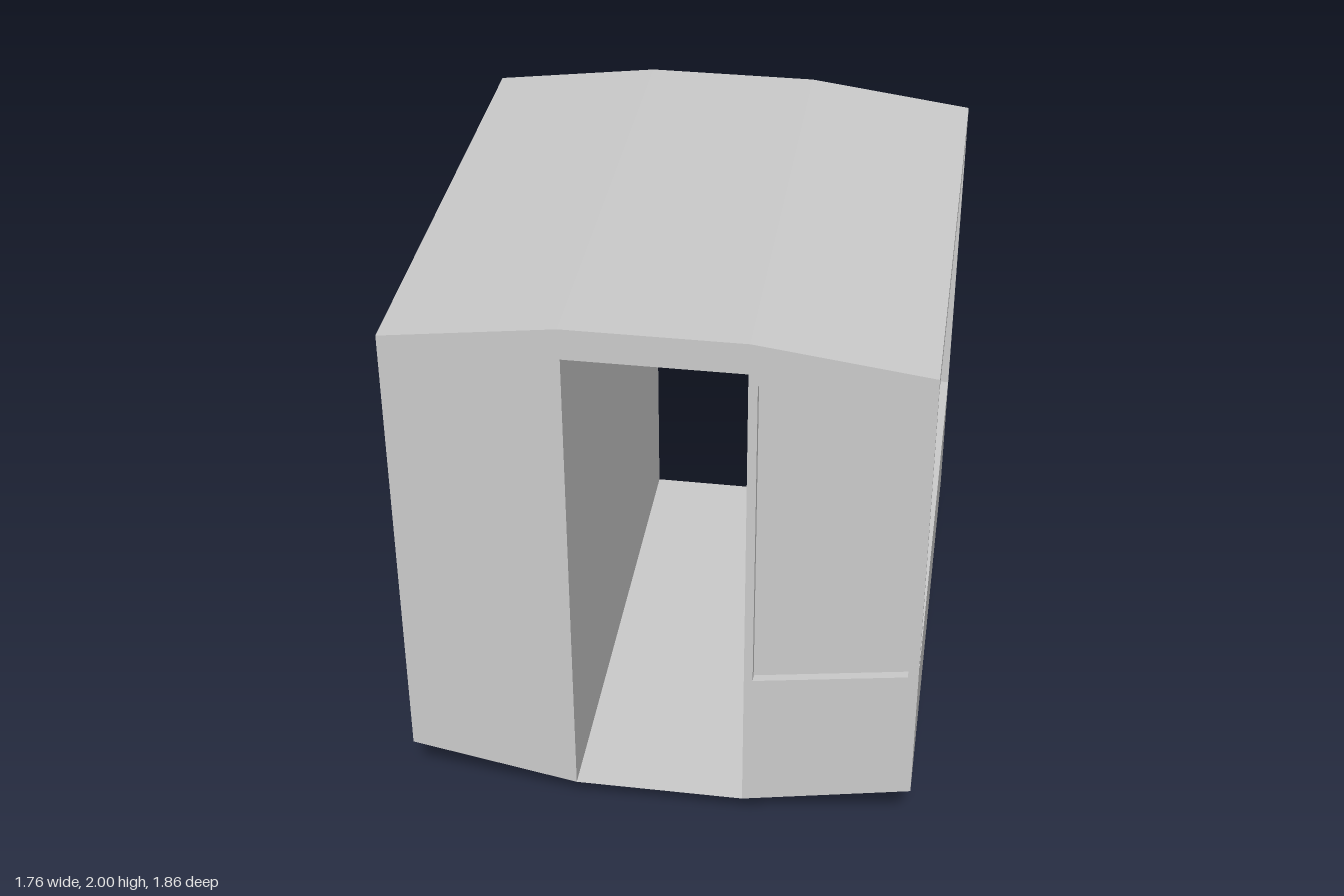
import * as THREE from 'three';
import { ConvexGeometry } from 'three/addons/geometries/ConvexGeometry.js';

const W = 0.88, L = 0.93;        // half width, half length
const DOOR = 0.295;              // half width of the passage
const RECESS = 0.03;             // window depth
const SILL = 0.6, HEAD = 1.89;   // window band

export function createModel() {
  const group = new THREE.Group();
  const material = new THREE.MeshStandardMaterial({ color: 0xcccccc, flatShading: true });

  const add = (name, geometry) => {
    const mesh = new THREE.Mesh(geometry, material);
    mesh.name = name;
    group.add(mesh);
  };
  const outline = (points, Type = THREE.Shape) =>
    new Type(points.map(([x, y]) => new THREE.Vector2(x, y)));
  // Prism with an optional hole, starting at z0
  const prism = (points, z0, depth, hole) => {
    const shape = outline(points);
    if (hole) shape.holes.push(outline(hole, THREE.Path));
    return new THREE.ExtrudeGeometry(shape, { depth, bevelEnabled: false }).translate(0, 0, z0);
  };
  const rect = (x0, x1, y0, y1) => [[x0, y0], [x1, y0], [x1, y1], [x0, y1]];

  // Roof with sloping shoulders
  add('roof', prism([[-W, HEAD], [W, HEAD], [W, 1.925], [0.3, 2], [-0.3, 2], [-W, 1.925]], -L, 2 * L));

  for (const s of [1, -1]) {
    const side = s > 0 ? 'left' : 'right';
    const mirror = (points) => points.map(([x, y]) => [s * x, y]);

    // Solid lower wall
    add(side + 'LowerWall', prism(
      mirror([[DOOR, 0.115], [W, 0.23], [W, SILL], [DOOR, SILL]]), -L, 2 * L));

    // Window panes are the faces of an inset block
    add(side + 'WindowPanes', prism(
      mirror(rect(DOOR, W - RECESS, SILL, HEAD)), -L + RECESS, 2 * (L - RECESS)));

    // End window frames, front and back
    const opening = mirror([[0.325, 0.66], [0.845, 0.74], [0.845, 1.85], [0.325, 1.85]]);
    for (const [end, z0] of [['Front', L - RECESS], ['Back', -L]]) {
      add(side + end + 'WindowFrame', prism(mirror(rect(DOOR, W, SILL, HEAD)), z0, RECESS, opening));
    }

    // Long side window frame
    const zEnd = L - RECESS;
    const frame = prism(rect(-zEnd, zEnd, SILL, HEAD), 0, RECESS, rect(-0.89, 0.89, 0.74, 1.85));
    frame.rotateY(Math.PI / 2).translate(s > 0 ? W - RECESS : -W, 0, 0);
    add(side + 'SideWindowFrame', frame);
  }

  // Tapered underframe: three convex bays between four stations
  const stations = [
    { top: [-W, 0.23], bottom: [-0.76, 0.175] },
    { top: [-DOOR, 0.115], bottom: [-0.25, 0.045] },
    { top: [DOOR, 0.115], bottom: [0.25, 0.045] },
    { top: [W, 0.23], bottom: [0.76, 0.175] },
  ];
  ['rightUnderframe', 'passageFloor', 'leftUnderframe'].forEach((name, i) => {
    const corners = [];
    for (const { top, bottom } of [stations[i], stations[i + 1]]) {
      for (const z of [1, -1]) {
        corners.push(new THREE.Vector3(...top, z * L), new THREE.Vector3(...bottom, z * 0.81));
      }
    }
    add(name, new ConvexGeometry(corners));
  });

  // Bent base plate
  add('basePlate', prism([
    [-0.76, 0.135], [-0.25, 0], [0.25, 0], [0.76, 0.135],
    [0.76, 0.175], [0.25, 0.045], [-0.25, 0.045], [-0.76, 0.175],
  ], -0.81, 1.62));

  return group;
}
